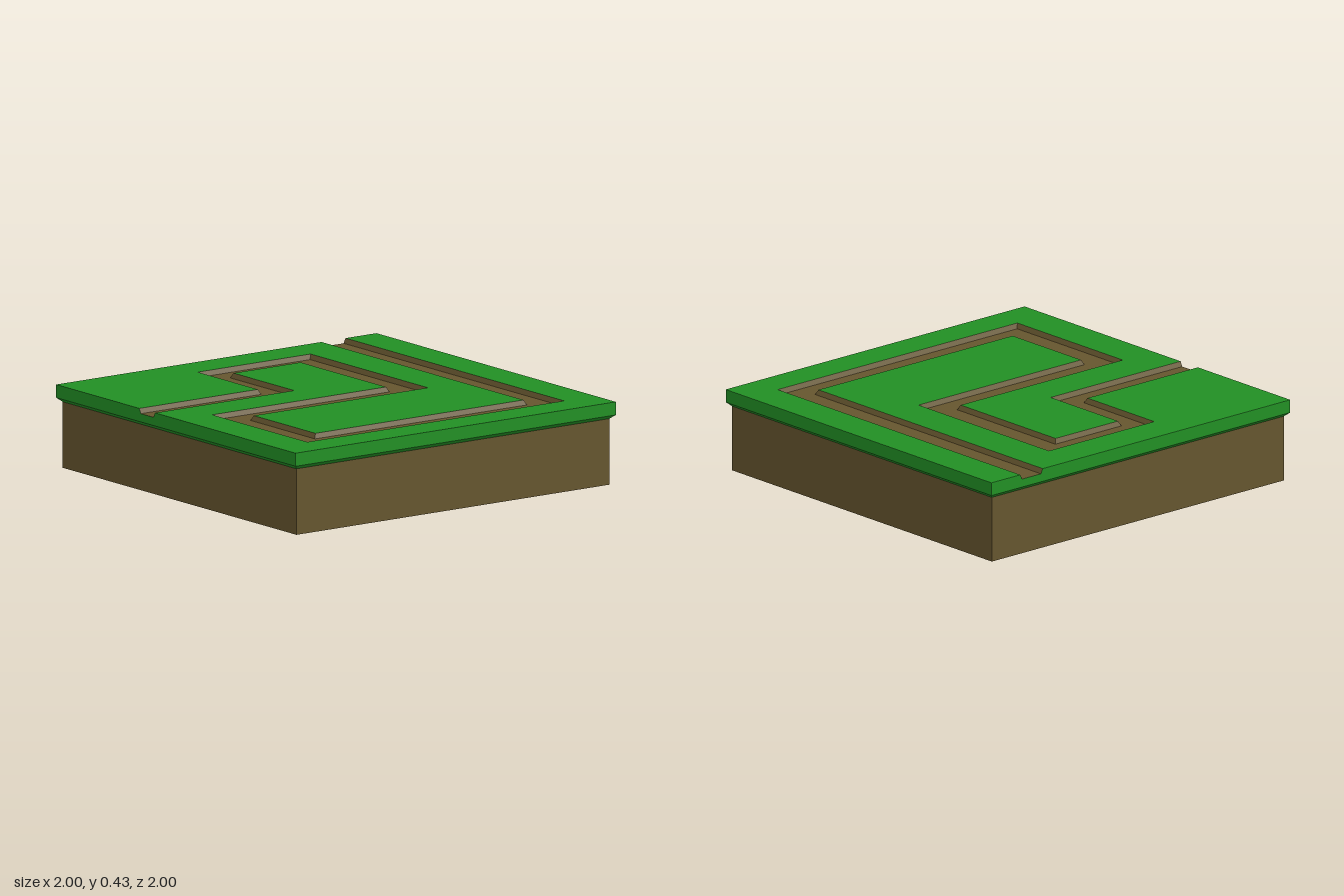
import * as THREE from 'three';

const TOP = 0.425, FLOOR = 0.4, RIM = 0.358, SOIL = 0.338, SLOPE = 0.012;

// Flat upward face through [x, z] points at height y
function flatFace(points, y) {
  const shape = new THREE.Shape(points.map(([x, z]) => new THREE.Vector2(x, -z)));
  return new THREE.ShapeGeometry(shape).rotateX(-Math.PI / 2).translate(0, y, 0);
}

// Wall between an upper and a lower line; it faces the right of the travel direction
function wall(upper, yU, lower, yL) {
  const pos = [];
  for (let i = 0; i < upper.length - 1; i++) {
    const a = [upper[i][0], yU, upper[i][1]], b = [upper[i + 1][0], yU, upper[i + 1][1]];
    const c = [lower[i][0], yL, lower[i][1]], d = [lower[i + 1][0], yL, lower[i + 1][1]];
    pos.push(...a, ...c, ...d, ...a, ...d, ...b);
  }
  const g = new THREE.BufferGeometry();
  g.setAttribute('position', new THREE.Float32BufferAttribute(pos, 3));
  g.computeVertexNormals();
  return g;
}

// Shift a right-angled line to its right
function offset(line, dist) {
  const normal = (i) => {
    if (i < 0 || i >= line.length - 1) return [0, 0];
    const dx = line[i + 1][0] - line[i][0], dz = line[i + 1][1] - line[i][1];
    return [-Math.sign(dz) * dist, Math.sign(dx) * dist];
  };
  return line.map(([x, z], i) => {
    const p = normal(i - 1), n = normal(i);
    return [x + p[0] + n[0], z + p[1] + n[1]];
  });
}

export function createModel() {
  const model = new THREE.Group();
  model.name = 'pathTile';
  const grass = new THREE.MeshStandardMaterial({ color: 0x228f24 });
  grass.name = 'grass green';
  const soil = new THREE.MeshStandardMaterial({ color: 0x65552e });
  soil.name = 'soil brown';
  const add = (name, geometry, material) => {
    const mesh = new THREE.Mesh(geometry, material);
    mesh.name = name;
    model.add(mesh);
  };

  // Soil block
  add('soilBlock', new THREE.BoxGeometry(1.955, SOIL, 1.955).translate(0, SOIL / 2, 0), soil);

  // Turf edge with a chamfer underneath
  const square = (r) => [[-r, -r], [-r, r], [r, r], [r, -r], [-r, -r]];
  add('turfEdge', wall(square(1), FLOOR, square(1), RIM), grass);
  add('turfChamfer', wall(square(1), RIM, square(0.9775), SOIL), grass);

  // Both banks of the winding path, each with the path on its right
  const innerBank = [
    [-1, -0.305], [-0.26, -0.305], [-0.26, -0.808], [0.445, -0.808], [0.445, 0.173],
    [-0.643, 0.173], [-0.643, 0.688], [0.657, 0.688], [0.657, -1],
  ];
  const outerBank = [
    [0.807, -1], [0.807, 0.826], [-0.797, 0.826], [-0.797, 0.033], [0.288, 0.033],
    [0.288, -0.682], [-0.13, -0.682], [-0.13, -0.175], [-1, -0.175],
  ];
  const banks = [
    { name: 'inner', line: innerBank, corners: [[-1, -1]] },
    { name: 'outer', line: outerBank, corners: [[-1, 1], [1, 1], [1, -1]] },
  ];
  const floor = [];
  for (const { name, line, corners } of banks) {
    const foot = offset(line, SLOPE);
    const last = line.length - 1;
    floor.push(...foot);
    add(name + 'Grass', flatFace([...line, ...corners], TOP), grass);
    add(name + 'GrassEdge', wall([line[last], ...corners, line[0]], TOP,
      [foot[last], ...corners, foot[0]], FLOOR), grass);
    add(name + 'PathBank', wall(line, TOP, foot, FLOOR), soil);
  }

  // Sunken path floor
  add('pathFloor', flatFace(floor, FLOOR), soil);
  return model;
}
